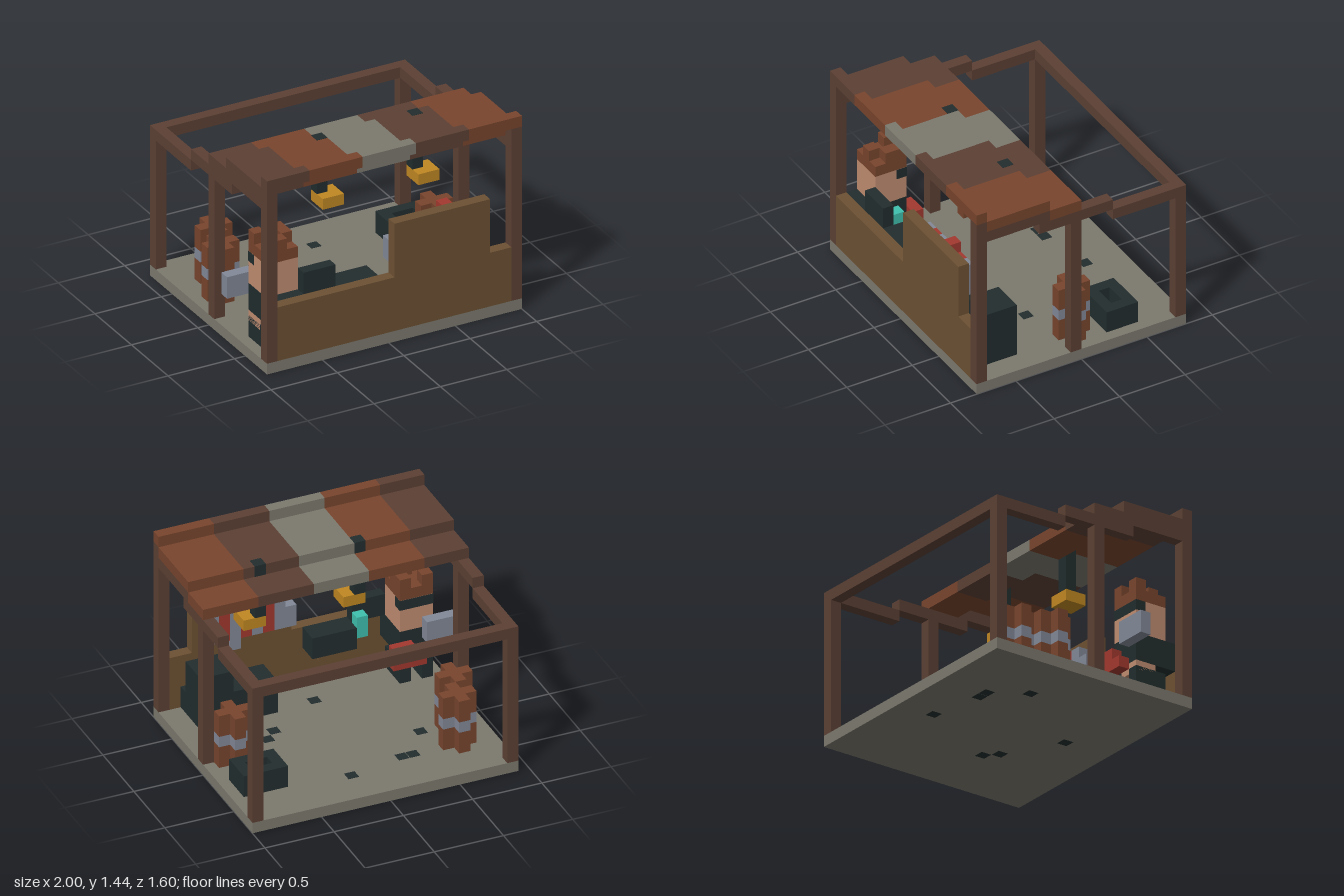
import * as THREE from 'three';

export function createModel() {
  const root = new THREE.Group();
  const mat = (name, color) => Object.assign(new THREE.MeshStandardMaterial({ color }), { name });
  const darkWood = mat('dark wood', 0x5c4034), rust = mat('rust brown', 0x78452d);
  const stone = mat('stone grey', 0x7c796e), dark = mat('charcoal', 0x222d2e);
  const gold = mat('lamp gold', 0xc08722), plank = mat('counter brown', 0x6d5133);
  const skin = mat('skin', 0xc08d71), steel = mat('steel grey', 0x828898);
  const red = mat('red', 0xa2392f), teal = mat('teal', 0x3fc0ae);

  // Box given by its extents on each axis
  function box(name, m, x0, x1, y0, y1, z0, z1, parent = root) {
    const mesh = new THREE.Mesh(new THREE.BoxGeometry(x1 - x0, y1 - y0, z1 - z0), m);
    mesh.position.set((x0 + x1) / 2, (y0 + y1) / 2, (z0 + z1) / 2);
    mesh.name = name;
    parent.add(mesh);
    return mesh;
  }
  function group(name) {
    const g = new THREE.Group();
    g.name = name;
    root.add(g);
    return g;
  }

  // Floor slab with dark stains showing on both faces
  box('floor', stone, -0.92, 1, 0, 0.08, -0.8, 0.8);
  const stains = [[-0.32, -0.44], [-0.24, -0.44], [0.16, -0.52], [-0.48, -0.2], [0.48, 0.12], [0.4, 0.2], [0, 0.44]];
  for (const [x, z] of stains) {
    for (const y of [-0.001, 0.079]) box('floorStain', dark, x - 0.038, x + 0.038, y, y + 0.002, z - 0.038, z + 0.038);
  }

  // Posts and stepped side rails
  const frame = group('frame');
  for (const x of [-0.92, 0.92]) {
    box('frontPost', darkWood, x, x + 0.08, 0.08, 1.36, 0.72, 0.8, frame);
    box('middlePost', darkWood, x, x + 0.08, 0.08, 1.12, 0, 0.08, frame);
    box('backPost', darkWood, x, x + 0.08, 0.08, 1.04, -0.8, -0.72, frame);
    box('upperRail', darkWood, x, x + 0.08, 1.2, 1.28, 0.24, 0.72, frame);
    box('middleRail', darkWood, x, x + 0.08, 1.12, 1.2, -0.24, 0.32, frame);
    box('lowerRail', darkWood, x, x + 0.08, 1.04, 1.12, -0.8, -0.24, frame);
  }
  box('backBeam', darkWood, -0.84, 0.92, 1.04, 1.12, -0.8, -0.72, frame);

  // Striped awning in three steps
  const awning = group('awning');
  const stripes = [[-0.92, -0.6, darkWood], [-0.6, -0.2, rust], [-0.2, 0.2, stone], [0.2, 0.6, darkWood], [0.6, 1, rust]];
  for (const [a, b, m] of stripes) {
    box('awningLip', m, a, b, 1.36, 1.44, 0.72, 0.8, awning);
    box('awningUpper', m, a, b, 1.28, 1.36, 0.24, 0.72, awning);
    box('awningLower', m, a, b, 1.2, 1.28, 0, 0.24, awning);
  }

  // Hanging lamps, their rods passing through the awning
  for (const x of [-0.28, 0.44]) {
    box('lampRod', dark, x, x + 0.08, 0.96, 1.362, 0.238, 0.32);
    box('lampShade', gold, x, x + 0.16, 0.88, 0.96, 0.24, 0.4);
  }

  // Counter with a raised board
  box('counter', plank, -0.84, 0.92, 0.08, 0.48, 0.72, 0.8);
  box('counterBoard', plank, 0.04, 0.76, 0.48, 0.88, 0.72, 0.8);

  // Tools hung on the back of the board
  const tools = [[0.6, steel, 0.56, 0.8], [0.52, red, 0.56, 0.8], [0.44, steel, 0.48, 0.8], [0.44, red, 0.8, 0.88],
    [0.36, red, 0.56, 0.8], [0.28, steel, 0.56, 0.8], [0.2, red, 0.56, 0.8], [0.12, steel, 0.56, 0.8], [0.04, steel, 0.56, 0.72]];
  for (const [x, m, y0, y1] of tools) box('hungTool', m, x, x + 0.08, y0, y1, 0.64, 0.72);

  // Cabinets and register behind the counter
  box('tallCabinet', dark, 0.6, 0.84, 0.08, 0.48, 0.4, 0.64);
  box('lowCabinet', dark, 0.28, 0.6, 0.08, 0.32, 0.4, 0.64);
  box('cabinetBack', dark, 0.28, 0.84, 0.08, 0.24, 0.64, 0.72);
  box('shelf', dark, -0.36, -0.04, 0.32, 0.48, 0.56, 0.72);
  box('shelfBracket', plank, -0.28, -0.12, 0.24, 0.32, 0.64, 0.72);
  box('register', dark, -0.6, -0.36, 0.48, 0.64, 0.64, 0.72);
  box('registerScreen', teal, -0.44, -0.36, 0.4, 0.56, 0.56, 0.64);

  // Shopkeeper facing the back
  const keeper = group('shopkeeper');
  for (const x of [-0.84, -0.68]) box('leg', dark, x, x + 0.08, 0.08, 0.24, 0.4, 0.64, keeper);
  box('waist', skin, -0.84, -0.6, 0.2, 0.28, 0.4, 0.56, keeper);
  box('torso', dark, -0.84, -0.6, 0.28, 0.48, 0.4, 0.72, keeper);
  box('head', skin, -0.84, -0.6, 0.48, 0.72, 0.4, 0.64, keeper);
  box('goggles', dark, -0.842, -0.598, 0.645, 0.719, 0.398, 0.476, keeper);
  box('hair', rust, -0.84, -0.6, 0.72, 0.8, 0.4, 0.64, keeper);
  for (const [x, z0, z1] of [[-0.84, 0.4, 0.48], [-0.76, 0.56, 0.64], [-0.68, 0.4, 0.56]]) {
    box('hairTuft', rust, x, x + 0.08, 0.8, 0.88, z0, z1, keeper);
  }
  box('heldBox', steel, -1, -0.76, 0.4, 0.56, 0.32, 0.4, keeper);
  box('redToolHandle', red, -0.68, -0.52, 0.32, 0.4, 0.32, 0.4, keeper);
  box('redToolEnd', red, -0.76, -0.52, 0.24, 0.32, 0.32, 0.4, keeper);

  // Plus-shaped barrels with a steel band
  for (const [x, z] of [[-0.64, -0.44], [-0.72, -0.2], [0.8, -0.04]]) {
    const barrel = group('barrel');
    for (const [name, m, y0, y1] of [['barrelBase', rust, 0.08, 0.24], ['barrelBand', steel, 0.24, 0.32], ['barrelTop', rust, 0.32, 0.48]]) {
      box(name, m, x - 0.12, x + 0.12, y0, y1, z - 0.04, z + 0.04, barrel);
      for (const s of [-0.08, 0.08]) box(name, m, x - 0.04, x + 0.04, y0, y1, z + s - 0.04, z + s + 0.04, barrel);
    }
  }

  // Open crate
  const crate = group('crate');
  for (const z of [-0.48, -0.32]) box('crateLongWall', dark, 0.6, 0.92, 0.08, 0.24, z, z + 0.08, crate);
  for (const x of [0.6, 0.84]) box('crateShortWall', dark, x, x + 0.08, 0.08, 0.24, -0.4, -0.32, crate);

  return root;
}
